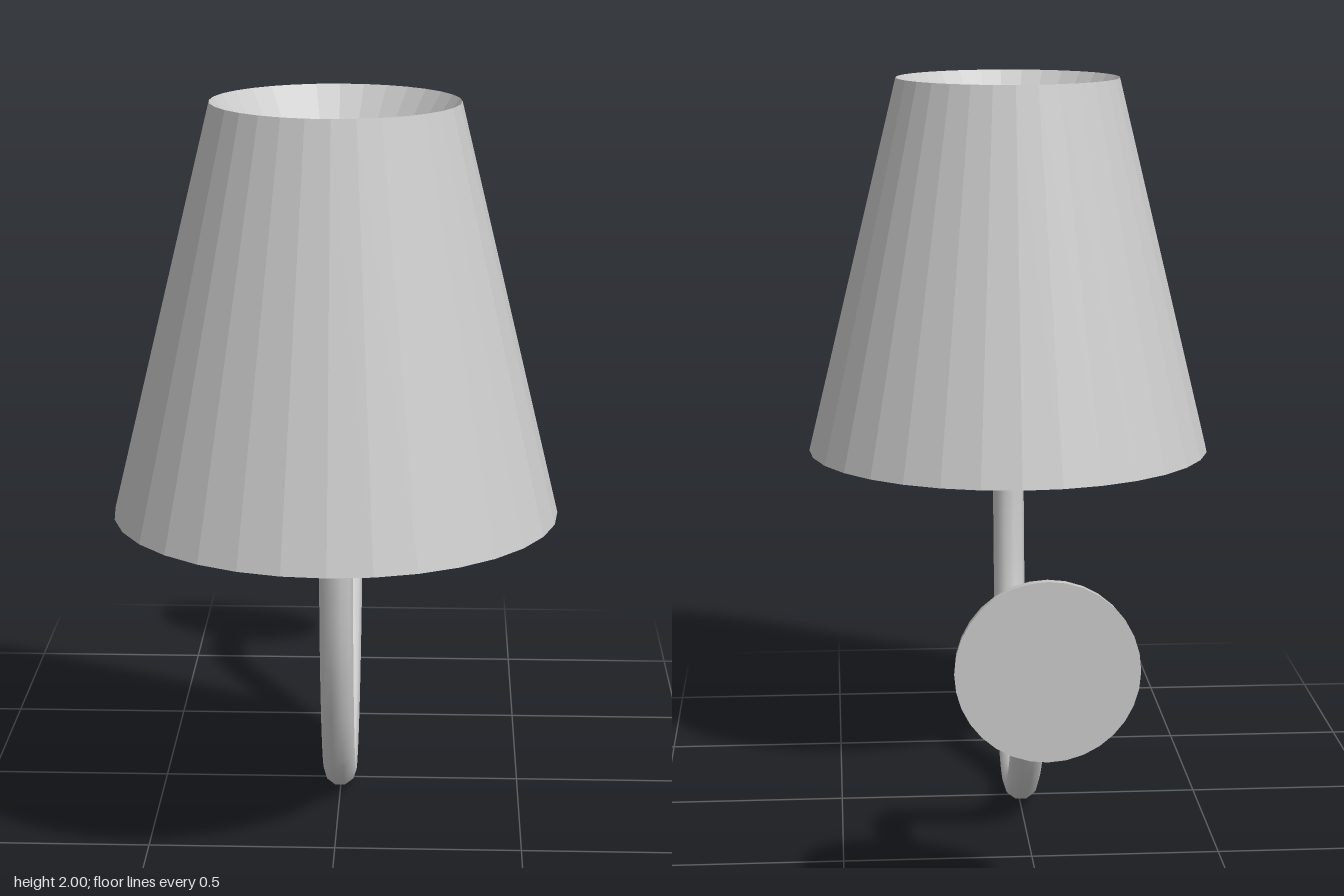
import * as THREE from 'three';

const SHADE_Z = 0.415;
const BASE_Y = 0.66;

function makeMaterial(options = {}) {
  return new THREE.MeshStandardMaterial({ color: 0xcccccc, ...options });
}

function addMesh(parent, name, geometry, material) {
  const mesh = new THREE.Mesh(geometry, material);
  mesh.name = name;
  parent.add(mesh);
  return mesh;
}

// Surface of revolution from [radius, height] pairs
function lathe(pairs, segments) {
  return new THREE.LatheGeometry(pairs.map(([r, h]) => new THREE.Vector2(r, h)), segments);
}

export function createModel() {
  const model = new THREE.Group();
  model.name = 'wallLamp';
  const faceted = makeMaterial({ flatShading: true, side: THREE.DoubleSide });
  const smooth = makeMaterial();

  // Tapered shade, open below, with a funnel sunk into its top
  const shade = new THREE.Group();
  shade.name = 'shade';
  shade.position.z = SHADE_Z;
  model.add(shade);
  addMesh(shade, 'shadeWall', lathe([[0.58, 0.925], [0.32, 2]], 32), faceted);
  addMesh(shade, 'topFunnel', lathe([[0.32, 2], [0.2, 1.82]], 32), faceted);
  addMesh(shade, 'funnelFloor', new THREE.CircleGeometry(0.2, 32).rotateX(-Math.PI / 2), faceted).position.y = 1.82;

  // Flat panel closing the inside of the shade
  addMesh(shade, 'innerPanel', new THREE.CircleGeometry(0.477, 32).rotateX(Math.PI / 2), faceted).position.y = 1.35;

  // Curved arm, given as [z, y] points from shade to wall
  const path = [
    [0.415, 1.36], [0.415, 0.95], [0.4, 0.7], [0.36, 0.47], [0.275, 0.25],
    [0.165, 0.105], [0.035, 0.047], [-0.1, 0.07], [-0.24, 0.155], [-0.36, 0.295],
    [-0.46, 0.46], [-0.54, 0.595], [-0.61, 0.667], [-0.69, 0.687], [-0.88, 0.655],
  ].map(([z, y]) => new THREE.Vector3(0, y, z));
  const curve = new THREE.CatmullRomCurve3(path, false, 'centripetal');
  addMesh(model, 'arm', new THREE.TubeGeometry(curve, 60, 0.045, 10), smooth);

  // Domed wall mount, turned to face the front
  const mount = new THREE.Group();
  mount.name = 'wallMount';
  mount.position.set(0, BASE_Y, -1);
  mount.rotation.x = Math.PI / 2;
  model.add(mount);
  const dome = [
    [0.228, 0], [0.226, 0.03], [0.211, 0.075], [0.187, 0.108],
    [0.155, 0.131], [0.115, 0.146], [0.075, 0.156], [0, 0.158],
  ];
  addMesh(mount, 'mountDome', lathe(dome, 32), smooth);
  addMesh(mount, 'mountBack', new THREE.CircleGeometry(0.228, 32).rotateX(Math.PI / 2), smooth);

  return model;
}
